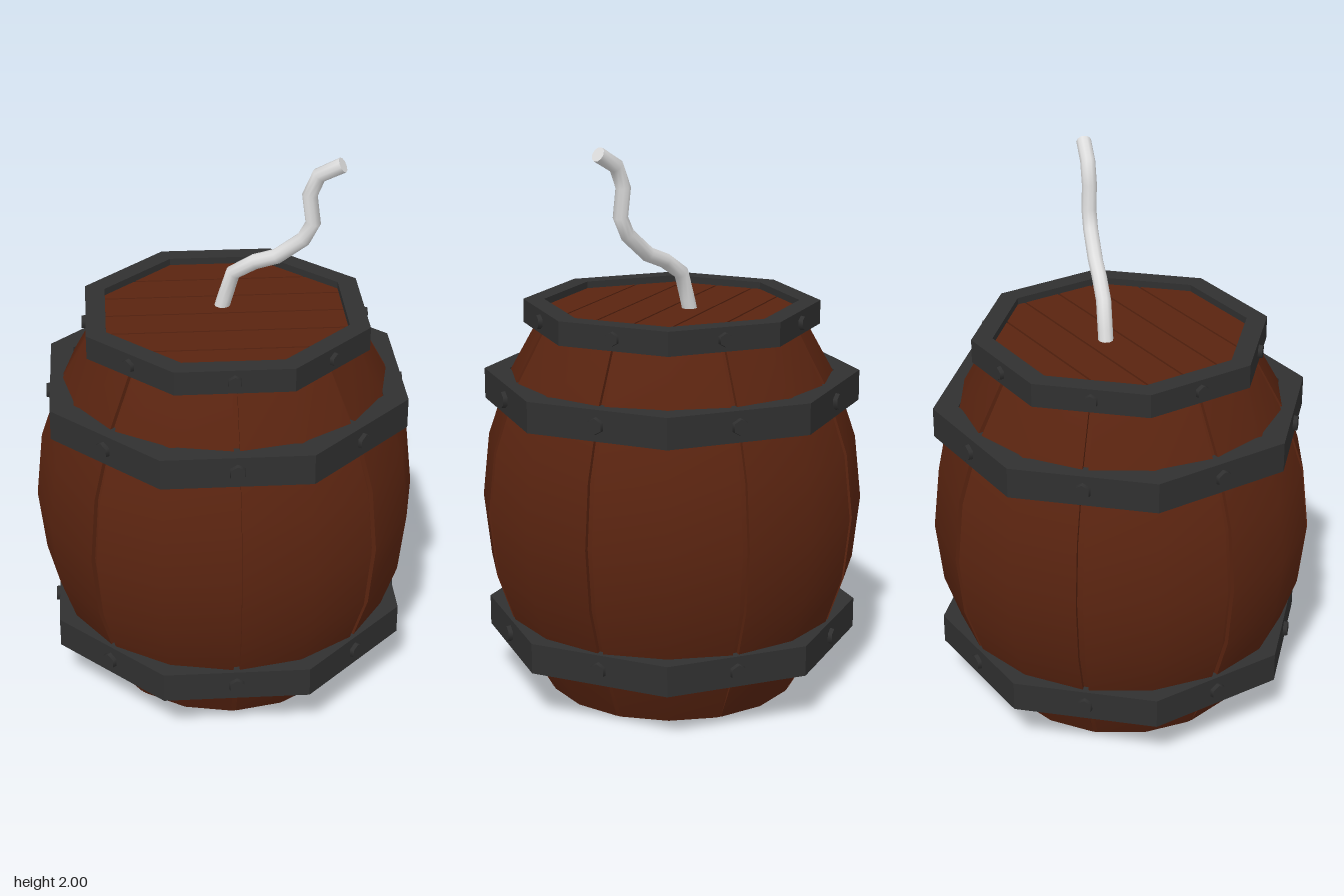
import * as THREE from 'three';
import { mergeGeometries } from 'three/addons/utils/BufferGeometryUtils.js';

const wood = new THREE.MeshStandardMaterial({ color: 0x5a2410 });
const iron = new THREE.MeshStandardMaterial({ color: 0x303030 });
const cord = new THREE.MeshStandardMaterial({ color: 0xdedede });
wood.name = 'wood';
iron.name = 'iron';
cord.name = 'cord';

const EIGHTH = Math.PI / 4;
// barrel outline: [radius, height, groove depth]
const PROFILE = [
  [0.46, 0, 0], [0.587, 0.23, 0.018], [0.665, 0.46, 0.018], [0.69, 0.69, 0.018],
  [0.665, 0.92, 0.018], [0.587, 1.15, 0.018], [0.46, 1.38, 0.018],
];

function addMesh(parent, name, geometry, material) {
  const mesh = new THREE.Mesh(geometry, material);
  mesh.name = name;
  parent.add(mesh);
  return mesh;
}

// vertical strip following the outline; columns are [angle, 1 if sunk to groove depth]
function strip(columns) {
  const positions = [], index = [], n = columns.length;
  PROFILE.forEach(([r, y, depth], i) => {
    columns.forEach(([angle, sunk], j) => {
      const radius = r - depth * sunk;
      positions.push(radius * Math.sin(angle), y, radius * Math.cos(angle));
      if (i < PROFILE.length - 1 && j < n - 1) {
        const a = i * n + j;
        index.push(a, a + 1, a + n + 1, a, a + n + 1, a + n);
      }
    });
  });
  const g = new THREE.BufferGeometry();
  g.setAttribute('position', new THREE.Float32BufferAttribute(positions, 3));
  g.setIndex(index);
  g.computeVertexNormals();
  return g;
}

// upright prism from a flat outline
function slab(shape, bottom, height) {
  const g = new THREE.ExtrudeGeometry(shape, { depth: height, bevelEnabled: false });
  return g.rotateX(-Math.PI / 2).translate(0, bottom, 0);
}

function octagon(radius) {
  return Array.from({ length: 8 }, (_, i) =>
    new THREE.Vector2(radius * Math.cos(i * EIGHTH), radius * Math.sin(i * EIGHTH)));
}

// eight-sided band with a hex bolt on every face
function hoop(name, outer, inner, bottom, height, boltRadius) {
  const group = new THREE.Group();
  group.name = name;
  const shape = new THREE.Shape(octagon(outer));
  shape.holes.push(new THREE.Path(octagon(inner)));
  addMesh(group, 'band', slab(shape, bottom, height), iron);
  const face = outer * Math.cos(EIGHTH / 2);
  for (let i = 0; i < 8; i++) {
    const g = new THREE.CylinderGeometry(boltRadius * 0.85, boltRadius, 0.03, 6);
    g.rotateX(Math.PI / 2).translate(0, bottom + height / 2, face);
    g.rotateY((i + 0.5) * EIGHTH);
    addMesh(group, 'bolt', g, iron);
  }
  return group;
}

// planked lid, its boards parallel to one side of the octagon
function lid() {
  const group = new THREE.Group();
  group.name = 'lid';
  const apothem = 0.425, width = apothem / 3, gap = 0.004, corner = apothem * Math.tan(EIGHTH / 2);
  const half = (v) => Math.min(apothem, apothem * Math.SQRT2 - Math.abs(v));
  for (let i = -3; i < 3; i++) {
    const low = i * width + gap, high = (i + 1) * width - gap;
    const levels = [low, ...[-corner, corner].filter((v) => v > low && v < high), high];
    const outline = [
      ...levels.map((v) => new THREE.Vector2(half(v), v)),
      ...levels.reverse().map((v) => new THREE.Vector2(-half(v), v)),
    ].map((p) => p.rotateAround(new THREE.Vector2(), EIGHTH / 2));
    addMesh(group, 'lidPlank', slab(new THREE.Shape(outline), 1.36, 0.035), wood);
  }
  addMesh(group, 'lidBase', slab(new THREE.Shape(octagon(0.46)), 1.34, 0.042), wood);
  return group;
}

// bent cord rising from the lid
function fuse() {
  const group = new THREE.Group();
  group.name = 'fuse';
  const points = [
    [-0.04, 1.36], [-0.02, 1.43], [0.01, 1.527], [0.09, 1.58], [0.17, 1.612],
    [0.265, 1.69], [0.298, 1.755], [0.284, 1.855], [0.315, 1.93], [0.397, 1.977],
  ].map(([x, y]) => new THREE.Vector3(x, y, -0.06));
  const path = new THREE.CatmullRomCurve3(points);
  path.getPointAt = (t, target) => path.getPoint(t, target);
  path.getTangentAt = (t, target) => path.getTangent(t, target);
  addMesh(group, 'fuseCord', new THREE.TubeGeometry(path, points.length - 1, 0.027, 10), cord);
  const tip = addMesh(group, 'fuseTip', new THREE.CircleGeometry(0.027, 10), cord);
  tip.position.copy(points[points.length - 1]);
  tip.quaternion.setFromUnitVectors(new THREE.Vector3(0, 0, 1), path.getTangent(1));
  return group;
}

export function createModel() {
  const model = new THREE.Group();
  model.name = 'barrel';

  // staves with grooves between them
  const edge = EIGHTH / 2 - 0.018;
  const stave = mergeGeometries([
    strip([[-edge, 0], [0, 0], [edge, 0]]),
    strip([[-edge, 1], [-edge, 0]]),
    strip([[edge, 0], [edge, 1]]),
  ]);
  for (let i = 0; i < 8; i++) {
    addMesh(model, 'stave', stave, wood).rotation.y = i * EIGHTH;
  }

  // core showing as the groove floors, and the flat base
  const outline = PROFILE.map(([r, y, depth]) => new THREE.Vector2(r - depth, y));
  addMesh(model, 'core', new THREE.LatheGeometry(outline, 16), wood);
  addMesh(model, 'base', new THREE.CircleGeometry(0.46, 16).rotateX(Math.PI / 2), wood);

  model.add(lid());
  model.add(hoop('topHoop', 0.53, 0.455, 1.335, 0.085, 0.028));
  model.add(hoop('upperHoop', 0.675, 0.585, 1.055, 0.11, 0.033));
  model.add(hoop('lowerHoop', 0.675, 0.585, 0.183, 0.11, 0.033));
  model.add(fuse());
  return model;
}
